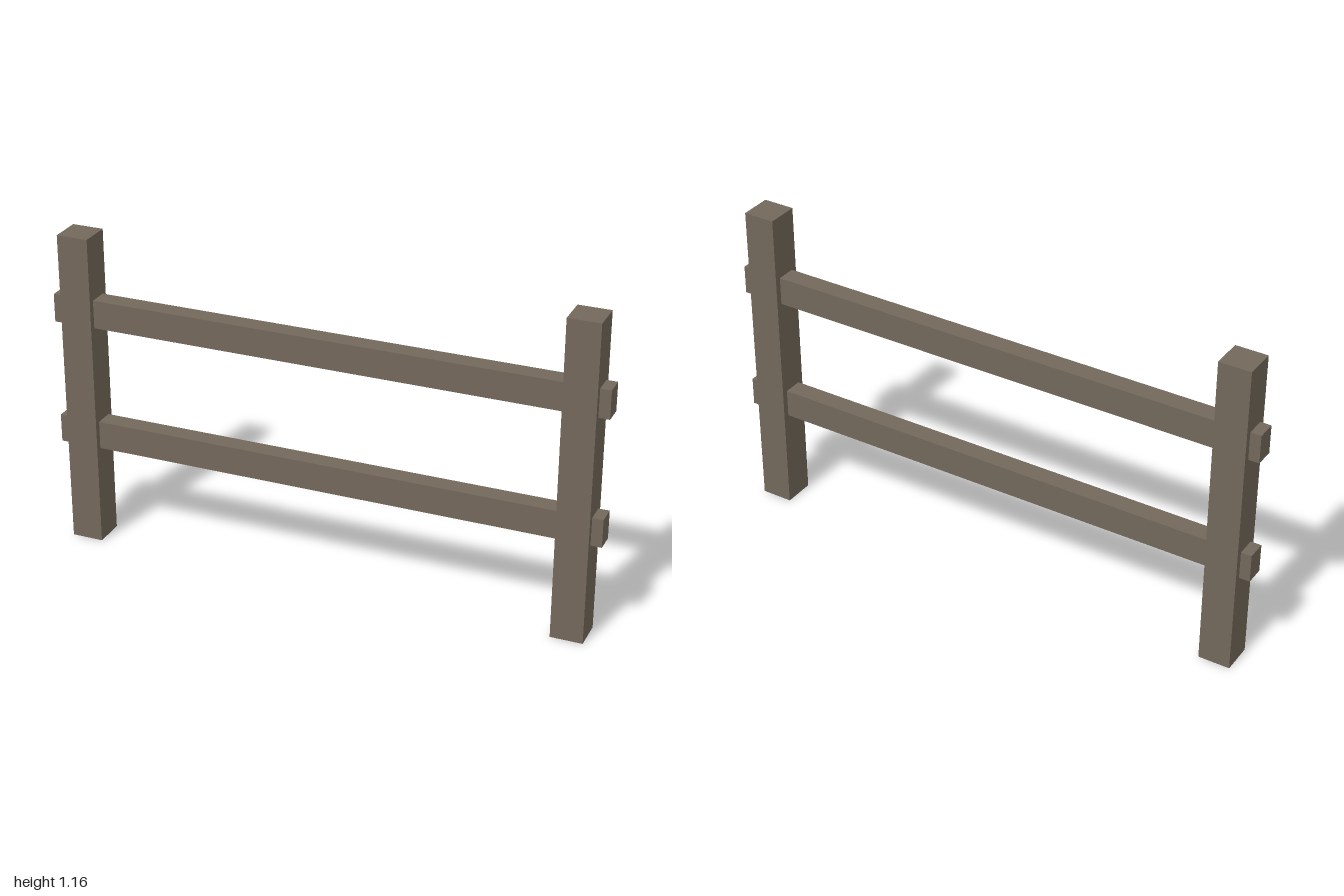
import * as THREE from 'three';

export function createModel() {
  const group = new THREE.Group();
  const wood = new THREE.MeshStandardMaterial({ color: 0x73685b });
  wood.name = 'weatheredWood';

  const beam = (name, size, x, y) => {
    const mesh = new THREE.Mesh(new THREE.BoxGeometry(...size), wood);
    mesh.name = name;
    mesh.position.set(x, y, 0);
    group.add(mesh);
  };

  // Square upright posts
  const postHeight = 1.162;
  for (const [name, side] of [['leftPost', 1], ['rightPost', -1]]) {
    beam(name, [0.115, postHeight, 0.115], side * 0.904, postHeight / 2);
  }

  // Horizontal rails passing through both posts
  for (const [name, y] of [['lowerRail', 0.415], ['upperRail', 0.879]]) {
    beam(name, [2, 0.103, 0.07], 0, y);
  }

  return group;
}
